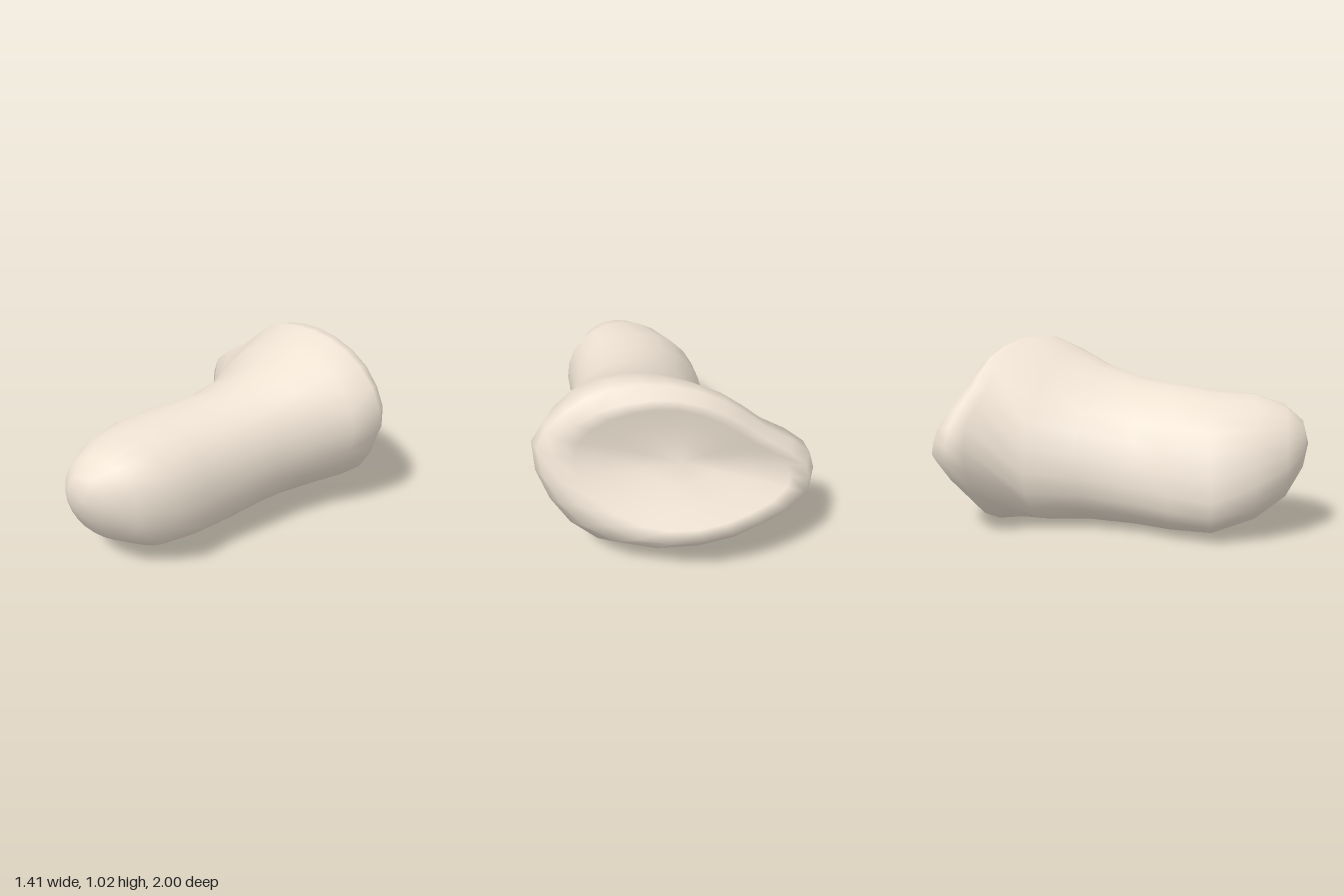
import * as THREE from 'three';
import { mergeVertices } from 'three/addons/utils/BufferGeometryUtils.js';

const SEGMENTS = 24;

// Slightly squared ellipse at depth z, skewed separately on its left (-x) and
// right (+x) sides; leanX tilts its plane sideways.
function oval(z, x0, x1, y0, y1, skew0, skew1, power = 1, leanX = 0) {
  const soften = (v) => Math.sign(v) * Math.abs(v) ** power;
  return Array.from({ length: SEGMENTS }, (_, j) => {
    const t = (j / SEGMENTS) * Math.PI * 2;
    const skew = THREE.MathUtils.lerp(skew0, skew1, 0.5 + 0.5 * Math.cos(t));
    const x = (x0 + x1) / 2 + ((x1 - x0) / 2) * soften(Math.cos(t));
    const y = (y0 + y1) / 2 + ((y1 - y0) / 2) * soften(Math.sin(t + skew));
    return new THREE.Vector3(x, y, z + leanX * x);
  });
}

// Smooth closed ring through a few points.
function outline(points) {
  const curve = new THREE.CatmullRomCurve3(points.map((p) => new THREE.Vector3(...p)), true);
  return Array.from({ length: SEGMENTS }, (_, j) => curve.getPoint(j / SEGMENTS));
}

// Closed surface through rings ordered from front to back.
function loft(rings) {
  const positions = rings.flat().flatMap((p) => p.toArray());
  const index = [];
  for (let i = 0; i < rings.length - 1; i++) {
    for (let j = 0; j < SEGMENTS; j++) {
      const p = i * SEGMENTS + j, q = i * SEGMENTS + ((j + 1) % SEGMENTS);
      const r = p + SEGMENTS, s = q + SEGMENTS;
      index.push(p, r, q, q, r, s);
    }
  }
  const geometry = new THREE.BufferGeometry();
  geometry.setAttribute('position', new THREE.Float32BufferAttribute(positions, 3));
  geometry.setIndex(index);
  const merged = mergeVertices(geometry, 1e-4); // joins the end poles
  merged.computeVertexNormals();
  return merged;
}

export function createModel() {
  const group = new THREE.Group();
  group.name = 'bone';

  // rounded front end, shaft and flaring neck
  const shaft = [
    oval(1.00, -0.24, -0.24, 0.47, 0.47, 0, 0),
    oval(0.97, -0.37, -0.10, 0.34, 0.59, 0.1, 0),
    oval(0.88, -0.49, 0.04, 0.19, 0.67, 0.2, 0, 0.95),
    oval(0.72, -0.60, 0.16, 0.08, 0.72, 0.28, 0, 0.9),
    oval(0.50, -0.67, 0.20, 0.015, 0.735, 0.38, 0.02, 0.87),
    oval(0.28, -0.61, 0.28, 0.005, 0.765, 0.34, 0.1, 0.9),
    oval(0.08, -0.52, 0.36, 0.005, 0.79, 0.33, 0.18, 0.95),
    oval(-0.16, -0.48, 0.47, 0.005, 0.86, 0.32, 0.22, 1, 0.12),
    oval(-0.38, -0.55, 0.62, 0.00, 0.955, 0.32, 0.22, 1, 0.18),
  ];

  // widest outline of the head
  const widest = outline([
    [0.70, 0.70, -0.40], [0.54, 0.90, -0.45], [0.32, 1.01, -0.48], [0.05, 1.01, -0.56],
    [-0.20, 0.93, -0.67], [-0.42, 0.755, -0.70], [-0.67, 0.58, -0.74], [-0.70, 0.37, -0.74],
    [-0.51, 0.10, -0.70], [-0.10, 0.00, -0.65], [0.42, 0.12, -0.56], [0.64, 0.38, -0.47],
  ]);

  // rim around the dished face, bowed out along its lower edge
  const rim = outline([
    [0.63, 0.67, -0.54], [0.52, 0.85, -0.57], [0.30, 0.95, -0.64], [0.05, 0.96, -0.72],
    [-0.18, 0.87, -0.80], [-0.38, 0.72, -0.86], [-0.58, 0.56, -0.92], [-0.57, 0.42, -0.96],
    [-0.30, 0.33, -1.00], [0.00, 0.27, -0.96], [0.30, 0.29, -0.84], [0.54, 0.44, -0.67],
  ]);

  // rounded shoulder between the widest outline and the rim
  const headCentre = new THREE.Vector3(0, 0.52, -0.62);
  const shoulder = widest.map((p, j) =>
    p.clone().lerp(rim[j], 0.5).sub(headCentre).multiplyScalar(1.04).add(headCentre));

  // shallow dish shrinking towards its centre
  const dishCentre = new THREE.Vector3(0.03, 0.61, -0.79);
  const dish = [[0.85, 0.012], [0.6, 0.04], [0.3, 0.055], [0, 0.06]].map(([scale, depth]) =>
    rim.map((p) => {
      const q = dishCentre.clone().lerp(p, scale);
      q.z += depth;
      return q;
    }));

  const body = new THREE.Mesh(
    loft([...shaft, widest, shoulder, rim, ...dish]),
    new THREE.MeshStandardMaterial({ color: 0xeee2d3 })
  );
  body.name = 'shaftAndHead';
  group.add(body);
  return group;
}
